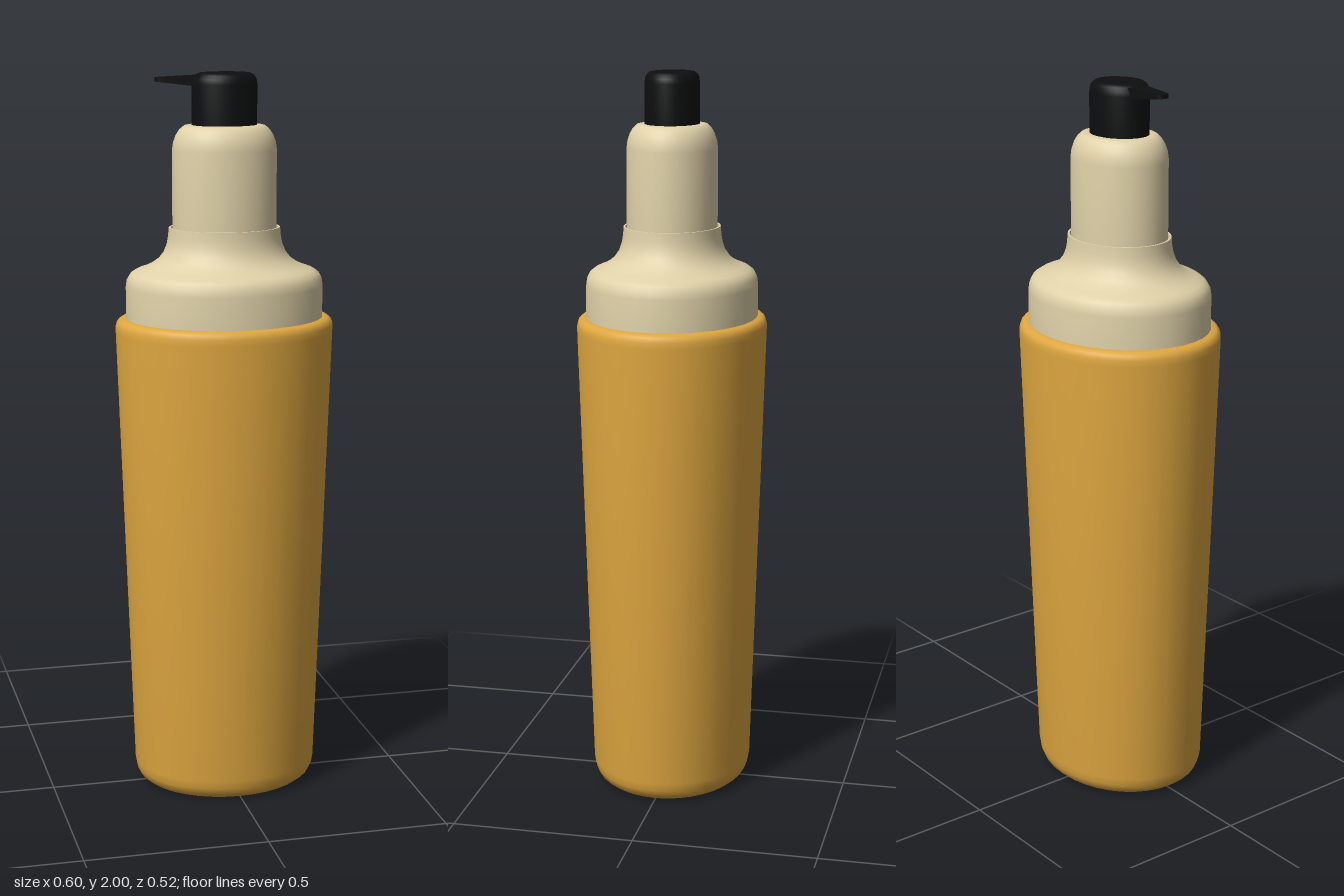
import * as THREE from 'three';
import { toCreasedNormals } from 'three/addons/utils/BufferGeometryUtils.js';

const material = (name, color) => new THREE.MeshStandardMaterial({ name, color });

// Oval turned part: [radius along x, height] profile from bottom to top
function ovalLathe(name, profile, mat, depthRatio = 0.86) {
  const points = profile.map(([r, y]) => new THREE.Vector2(r, y));
  const geometry = new THREE.LatheGeometry(points, 36);
  geometry.scale(1, 1, depthRatio);
  const mesh = new THREE.Mesh(toCreasedNormals(geometry, 0.75), mat);
  mesh.name = name;
  return mesh;
}

export function createModel() {
  const amber = material('amber', 0xdfa740);
  const cream = material('cream', 0xdfd1a8);
  const black = material('black', 0x0d0e0f);
  const model = new THREE.Group();
  model.name = 'pumpBottle';

  // Tapered bottle with rounded foot and rim
  model.add(ovalLathe('bottleBody', [
    [0, 0.004], [0.2, 0.004], [0.208, 0], [0.228, 0.005], [0.245, 0.018], [0.254, 0.037], [0.258, 0.06],
    [0.301, 1.3], [0.301, 1.317], [0.297, 1.329], [0.288, 1.336], [0.272, 1.338], [0.26, 1.338],
  ], amber));

  // Shoulder sweeping up into the collar, with a narrow groove in its top
  model.add(ovalLathe('shoulder', [
    [0.272, 1.32], [0.272, 1.425], [0.269, 1.444], [0.26, 1.459], [0.246, 1.468],
    [0.225, 1.475], [0.203, 1.485], [0.183, 1.499], [0.168, 1.518], [0.159, 1.54], [0.155, 1.562],
    [0.153, 1.585], [0.147, 1.585], [0.147, 1.572], [0.13, 1.572],
  ], cream));

  // Pump neck
  model.add(ovalLathe('neck', [
    [0.143, 1.56], [0.143, 1.795], [0.14, 1.815], [0.133, 1.834],
    [0.123, 1.849], [0.111, 1.859], [0.1, 1.861], [0.08, 1.861],
  ], cream));

  // Push button
  model.add(ovalLathe('pumpButton', [
    [0.089, 1.85], [0.089, 1.97], [0.087, 1.983], [0.081, 1.993], [0.071, 1.999], [0.06, 2], [0, 2],
  ], black, 0.83));

  // Spout: tapered plan, rounded at the tip, thinning outwards
  const plan = new THREE.Shape();
  plan.moveTo(-0.05, -0.033);
  plan.lineTo(-0.178, -0.018);
  plan.quadraticCurveTo(-0.191, -0.016, -0.191, 0);
  plan.quadraticCurveTo(-0.191, 0.016, -0.178, 0.018);
  plan.lineTo(-0.05, 0.033);
  plan.closePath();
  const spoutGeometry = new THREE.ExtrudeGeometry(plan, { depth: 1, bevelEnabled: false, curveSegments: 6 });
  spoutGeometry.rotateX(-Math.PI / 2);
  const position = spoutGeometry.attributes.position;
  for (let i = 0; i < position.count; i++) {
    const t = (-0.05 - position.getX(i)) / 0.14;
    const bottom = THREE.MathUtils.lerp(1.961, 1.978, t);
    const top = THREE.MathUtils.lerp(1.994, 1.989, t);
    position.setY(i, THREE.MathUtils.lerp(bottom, top, position.getY(i)));
  }
  const spout = new THREE.Mesh(toCreasedNormals(spoutGeometry, 0.6), black);
  spout.name = 'spout';
  model.add(spout);

  return model;
}
